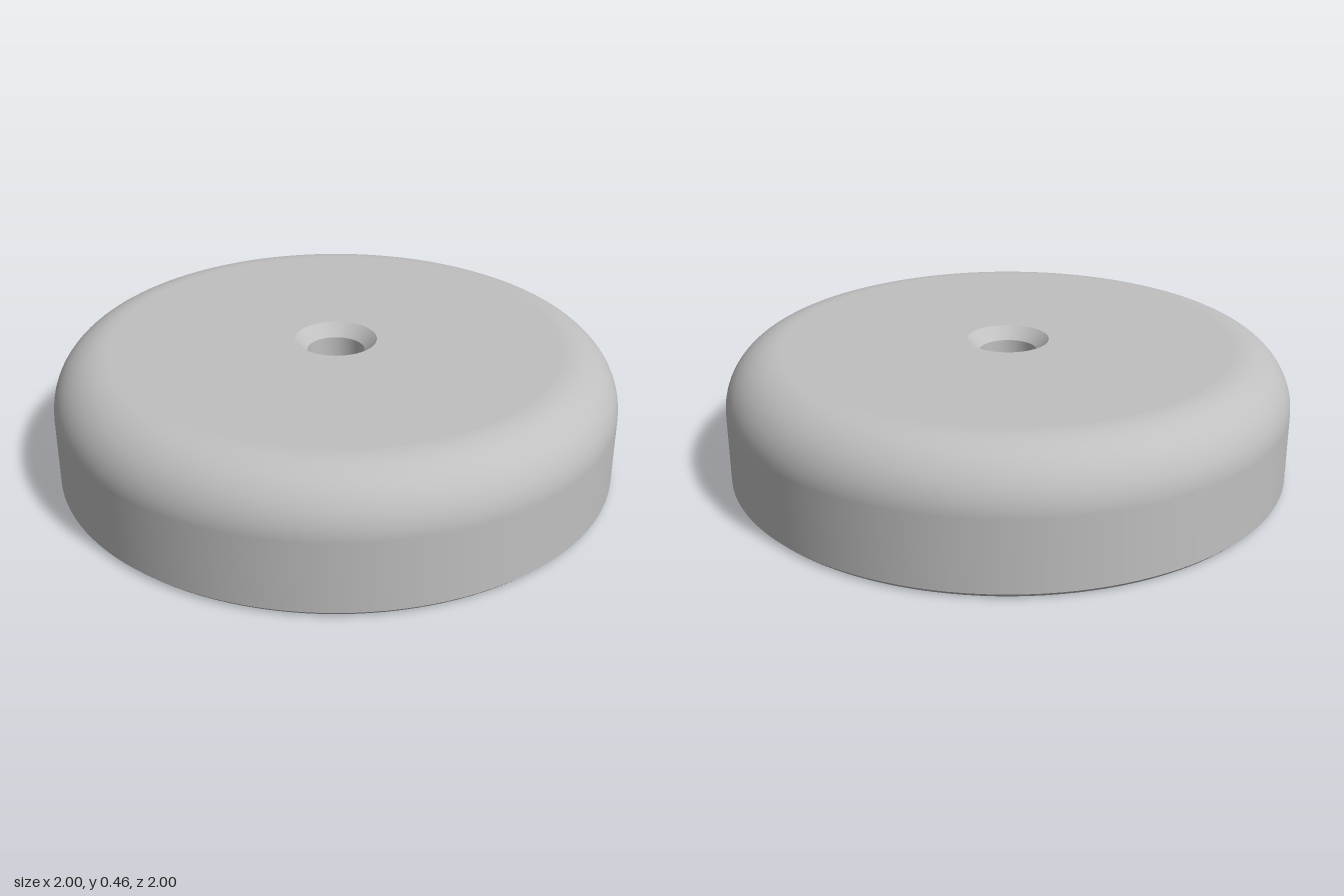
import * as THREE from 'three';

const SEGMENTS = 128;

export function createModel() {
  const model = new THREE.Group();
  model.name = 'roundFoot';
  const grey = new THREE.MeshStandardMaterial({ color: 0xc0c0c0 });
  grey.name = 'light grey';

  // Each section is turned separately, so the edges between them stay sharp.
  // Profiles run from the bottom centre, out and up, then back in to the hole floor.
  function turn(name, profile) {
    const points = profile.map(([r, y]) => new THREE.Vector2(r, y));
    const mesh = new THREE.Mesh(new THREE.LatheGeometry(points, SEGMENTS), grey);
    mesh.name = name;
    model.add(mesh);
  }

  // Underside: central pad, V-shaped groove and outer ring
  turn('centrePad', [[0, 0], [0.395, 0]]);
  turn('grooveInnerWall', [[0.395, 0], [0.583, 0.19]]);
  turn('grooveOuterWall', [[0.583, 0.19], [0.77, 0]]);
  turn('bottomRing', [[0.77, 0], [0.985, 0]]);
  turn('bottomChamfer', [[0.985, 0], [1, 0.015]]);

  // Straight side running smoothly into the rounded shoulder
  const side = [[1, 0.015], [1, 0.264]];
  const steps = 16;
  for (let i = 1; i <= steps; i++) {
    const a = (i / steps) * Math.PI / 2;
    side.push([0.8 + 0.2 * Math.cos(a), 0.264 + 0.2 * Math.sin(a)]);
  }
  turn('sideAndShoulder', side);

  // Flat top with a countersunk blind hole
  turn('topFace', [[0.8, 0.464], [0.145, 0.464]]);
  turn('countersink', [[0.145, 0.464], [0.102, 0.421]]);
  turn('holeWall', [[0.102, 0.421], [0.102, 0.15]]);
  turn('holeFloor', [[0.102, 0.15], [0, 0.15]]);

  return model;
}
